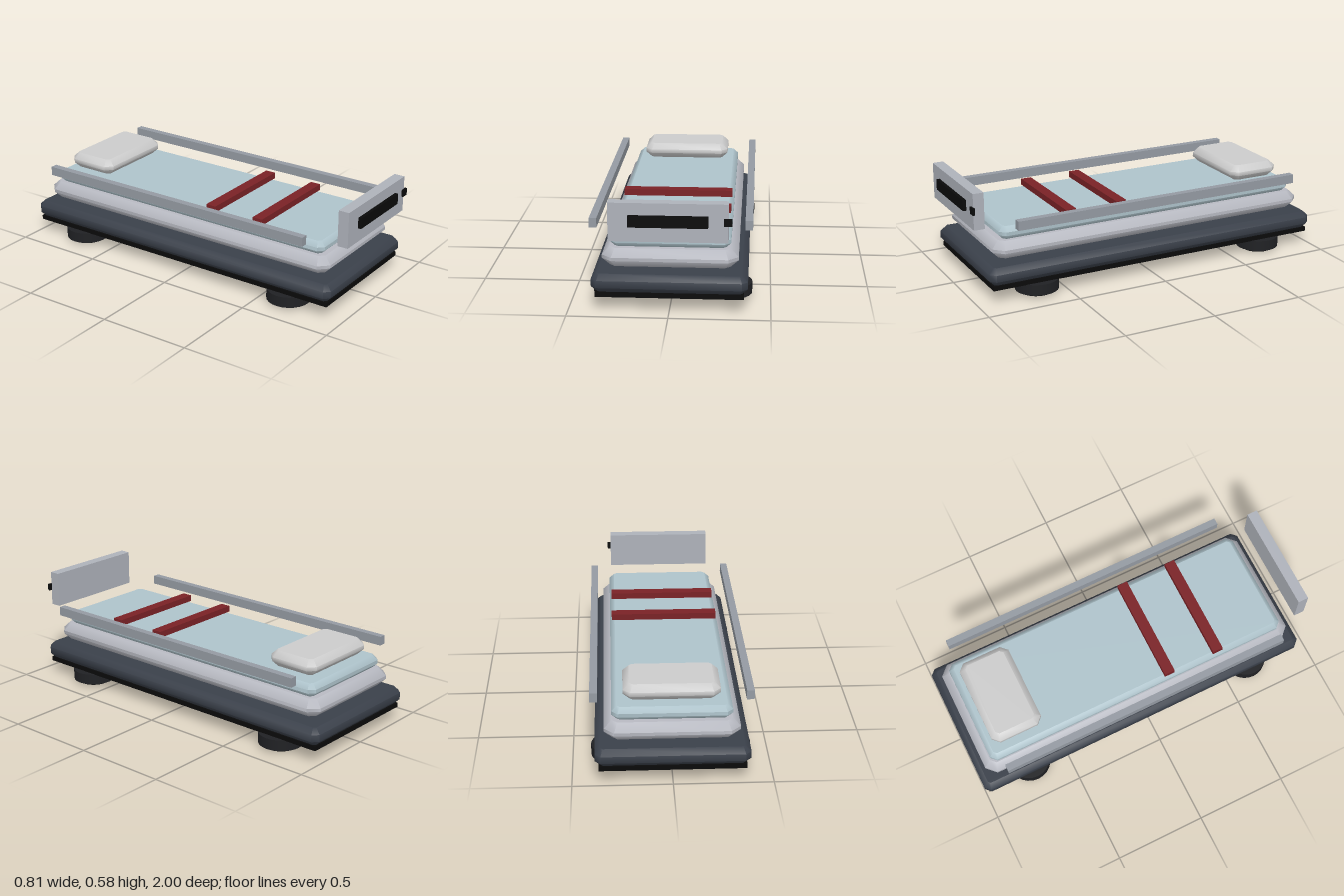
import * as THREE from 'three';
import { toCreasedNormals } from 'three/addons/utils/BufferGeometryUtils.js';

const BODY_Z = -0.032;

function addMesh(group, name, geometry, color, x, y, z) {
  const mesh = new THREE.Mesh(geometry, new THREE.MeshStandardMaterial({ color }));
  mesh.name = name;
  mesh.position.set(x, y, z);
  group.add(mesh);
  return mesh;
}

// Horizontal slab with cut corners and one bevel above and below; flat caps, soft sides
function slabGeometry(w, h, d, bevel, cut) {
  const x = w / 2, z = d / 2;
  const shape = new THREE.Shape([
    [x - cut, -z], [x, -z + cut], [x, z - cut], [x - cut, z],
    [-x + cut, z], [-x, z - cut], [-x, -z + cut], [-x + cut, -z],
  ].map(([a, b]) => new THREE.Vector2(a, b)));
  let geo = new THREE.ExtrudeGeometry(shape, {
    depth: h - 2 * bevel, bevelEnabled: true, bevelSegments: 1,
    bevelSize: bevel, bevelThickness: bevel, bevelOffset: -bevel,
  });
  geo.rotateX(-Math.PI / 2);
  geo.translate(0, bevel - h / 2, 0);
  geo = toCreasedNormals(geo, 0.95);
  const p = geo.attributes.position, n = geo.attributes.normal;
  for (let i = 0; i < p.count; i += 3) {
    const y = p.getY(i);
    const level = Math.abs(p.getY(i + 1) - y) < 1e-4 && Math.abs(p.getY(i + 2) - y) < 1e-4;
    if (level) for (let k = 0; k < 3; k++) n.setXYZ(i + k, 0, Math.sign(y), 0);
  }
  return geo;
}

export function createModel() {
  const model = new THREE.Group();
  model.name = 'wheeledBed';

  const box = (name, color, w, h, d, x, y, z) =>
    addMesh(model, name, new THREE.BoxGeometry(w, h, d), color, x, y, z);
  const slab = (name, color, w, y0, y1, d, bevel, cut, z = BODY_Z) =>
    addMesh(model, name, slabGeometry(w, y1 - y0, d, bevel, cut), color, 0, (y0 + y1) / 2, z);

  // Base and stacked padding
  box('basePlate', 0x0a0a0a, 0.734, 0.024, 1.9, 0, 0.084, BODY_Z);
  slab('baseBody', 0x3a404a, 0.772, 0.095, 0.19, 1.935, 0.029, 0.029);
  slab('lowerMattress', 0xb8bac2, 0.676, 0.21, 0.305, 1.84, 0.039, 0.05);
  slab('upperMattress', 0xaec3cb, 0.6, 0.303, 0.374, 1.75, 0.026, 0.03);
  slab('pillow', 0xd0d0d4, 0.484, 0.385, 0.47, 0.288, 0.032, 0.036, -0.717);

  // Round feet at the four corners
  for (const x of [-0.29, 0.29]) {
    for (const z of [0.648, -0.708]) {
      const foot = new THREE.Group();
      foot.name = 'foot';
      foot.position.set(x, 0, z);
      addMesh(foot, 'footDisc', new THREE.CylinderGeometry(0.116, 0.116, 0.058, 24), 0x202124, 0, 0.044, 0);
      addMesh(foot, 'footPad', new THREE.CylinderGeometry(0.087, 0.087, 0.016, 24), 0x0a0a0a, 0, 0.008, 0);
      model.add(foot);
    }
  }

  // Side rails
  for (const side of [-1, 1]) {
    box(side > 0 ? 'leftRail' : 'rightRail', 0x949aa2, 0.038, 0.049, 1.645, side * 0.387, 0.4125, -0.0325);
  }

  // Straps across the mattress
  for (const z of [0.155, 0.448]) box('strap', 0x7a2226, 0.58, 0.034, 0.058, 0, 0.395, z);

  // End panel with its display and button
  box('endPanel', 0xaeb2ba, 0.58, 0.193, 0.058, 0, 0.4805, 0.953);
  box('display', 0x0a0a0a, 0.386, 0.057, 0.02, 0, 0.4885, 0.99);
  box('button', 0x0a0a0a, 0.04, 0.037, 0.012, 0.288, 0.4885, 0.986);

  return model;
}
